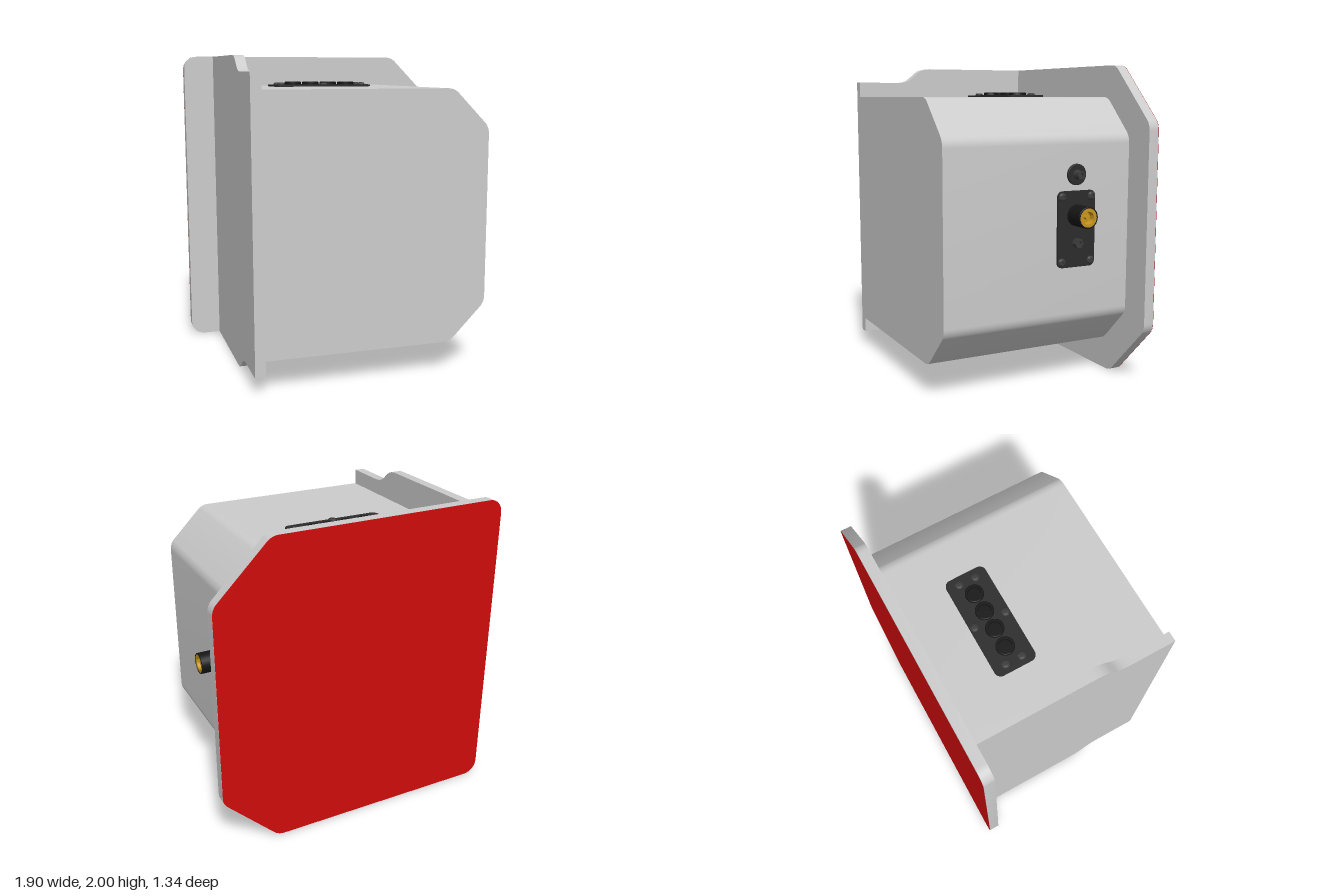
import * as THREE from 'three';
import { toCreasedNormals } from 'three/addons/utils/BufferGeometryUtils.js';

const grey = new THREE.MeshStandardMaterial({ color: 0xcccccc });
const red = new THREE.MeshStandardMaterial({ color: 0xd00c0c, side: THREE.DoubleSide });
const black = new THREE.MeshStandardMaterial({ color: 0x2c2c2c });
const jet = new THREE.MeshStandardMaterial({ color: 0x161616 });
const steel = new THREE.MeshStandardMaterial({ color: 0x3c3c3c });
const gold = new THREE.MeshStandardMaterial({ color: 0xc8961e });

// Polygon with circular fillets; each corner is [x, y, radius]
function filleted(corners) {
  const shape = new THREE.Shape();
  const n = corners.length;
  corners.forEach(([x, y, r], i) => {
    const p = new THREE.Vector2(x, y);
    const a = new THREE.Vector2(...corners[(i + n - 1) % n]).sub(p).normalize();
    const b = new THREE.Vector2(...corners[(i + 1) % n]).sub(p).normalize();
    const turn = Math.PI - Math.acos(a.dot(b));
    const cut = r * Math.tan(turn / 2);
    const h = cut - r * (4 / 3) * Math.tan(turn / 4);
    const at = (dir, d) => p.clone().addScaledVector(dir, d);
    const s = at(a, cut), c1 = at(a, h), c2 = at(b, h), e = at(b, cut);
    if (i === 0) shape.moveTo(s.x, s.y); else shape.lineTo(s.x, s.y);
    if (r > 0) shape.bezierCurveTo(c1.x, c1.y, c2.x, c2.y, e.x, e.y);
  });
  shape.closePath();
  return shape;
}

function extrude(shape, depth) {
  const g = new THREE.ExtrudeGeometry(shape, { depth, bevelEnabled: false, curveSegments: 8 });
  return toCreasedNormals(g, 0.5);
}

function add(parent, name, geometry, material, x = 0, y = 0, z = 0) {
  const mesh = new THREE.Mesh(geometry, material);
  mesh.name = name;
  mesh.position.set(x, y, z);
  parent.add(mesh);
  return mesh;
}

// Turned part standing on y = 0, profile listed from the bottom outside upward
function turned(profile, sides = 32, crease = 0.6) {
  const g = new THREE.LatheGeometry(profile.map(p => new THREE.Vector2(...p)), sides);
  return toCreasedNormals(g, crease);
}

const screwGeometry = turned([[0.026, 0], [0.026, 0.006], [0.021, 0.013], [0.013, 0.016],
  [0.011, 0.016], [0.011, 0.008], [0, 0.008]], 18);

// Cover plate lying in local xz, facing local +y
function coverPanel(name, width, depth, radius, screws) {
  const panel = new THREE.Group();
  panel.name = name;
  const w = width / 2, d = depth / 2;
  const shape = filleted([[-w, -d, radius], [w, -d, radius], [w, d, radius], [-w, d, radius]]);
  add(panel, 'coverPlate', extrude(shape, 0.012).rotateX(-Math.PI / 2), black);
  for (const [x, z] of screws) add(panel, 'screw', screwGeometry, steel, x, 0.01, z);
  return panel;
}

export function createModel() {
  const model = new THREE.Group();
  model.name = 'equipmentBox';

  // Main housing with two chamfered edges
  const housing = filleted([[-0.7, 0.2, 0], [0.51, 0.2, 0.1], [0.75, 0.44, 0.1],
    [0.75, 1.56, 0.1], [0.51, 1.8, 0.1], [-0.7, 1.8, 0]]);
  add(model, 'housing', extrude(housing, 1.268), grey, 0, 0, -0.601);

  // Back flange and its red rear face
  const flange = filleted([[-0.95, 0, 0.09], [0.59, 0, 0.1], [0.95, 0.36, 0.1],
    [0.95, 1.64, 0.1], [0.59, 2, 0.1], [-0.95, 2, 0.09]]);
  add(model, 'backFlange', extrude(flange, 0.068), grey, 0, 0, -0.668);
  add(model, 'redBackFace', new THREE.ShapeGeometry(flange, 8), red, 0, 0, -0.67);

  // Side wall with stepped top and bottom edges, drawn as (z, y)
  const wall = new THREE.Shape();
  wall.moveTo(-0.601, 0);
  wall.lineTo(0.14, 0);
  wall.bezierCurveTo(0.26, 0, 0.25, 0.1, 0.37, 0.1);
  wall.lineTo(0.667, 0.1);
  wall.lineTo(0.667, 1.9);
  wall.lineTo(0.37, 1.9);
  wall.bezierCurveTo(0.25, 1.9, 0.26, 2, 0.14, 2);
  wall.lineTo(-0.601, 2);
  wall.closePath();
  add(model, 'sideWall', extrude(wall, 0.065).rotateY(-Math.PI / 2), grey, -0.685, 0, 0);

  // Matching cover panels on the top and bottom
  const longScrews = [[-0.28, -0.053], [-0.28, 0.053], [0.28, -0.053], [0.28, 0.053], [0, -0.102], [0, 0.102]];
  const top = coverPanel('topPanel', 0.665, 0.262, 0.04, longScrews);
  top.position.set(-0.1, 1.8, -0.168);
  const bottom = coverPanel('bottomPanel', 0.665, 0.262, 0.04, longScrews);
  bottom.position.set(-0.1, 0.2, -0.168);
  bottom.rotation.x = Math.PI;
  model.add(top, bottom);

  // Row of round sockets on the top panel
  const socket = turned([[0.056, 0], [0.056, 0.016], [0.052, 0.02], [0.04, 0.02], [0.038, 0.002], [0, 0.002]]);
  for (let i = 0; i < 4; i++) add(top, 'socket', socket, jet, -0.186 + i * 0.124, 0.011, -0.002);

  // Side panel: local x runs downward, local y outward
  const side = coverPanel('connectorPanel', 0.47, 0.265, 0.035,
    [[-0.2, -0.103], [-0.2, 0.103], [0.2, -0.103], [0.2, 0.103]]);
  side.position.set(0.75, 1.005, -0.213);
  side.rotation.z = -Math.PI / 2;
  model.add(side);

  // Coaxial connector: black sleeve, gold insert and pin
  add(side, 'connectorSleeve', turned([[0.066, 0.01], [0.066, 0.142], [0.063, 0.145], [0.058, 0.145], [0.058, 0.1]]), jet, -0.085);
  add(side, 'connectorInsert', turned([[0.059, 0.1], [0.059, 0.143], [0.038, 0.143], [0.034, 0.105], [0, 0.105]]), gold, -0.085);
  add(side, 'connectorPin', new THREE.CylinderGeometry(0.012, 0.012, 0.03, 16), gold, -0.085, 0.118, 0);

  // Small hexagonal fitting below the connector
  add(side, 'hexFitting', turned([[0.03, 0.01], [0.03, 0.05], [0.016, 0.05], [0.016, 0.03], [0, 0.03]], 6, 0.2), steel, 0.085);

  // Separate round valve above the panel
  const valve = new THREE.Group();
  valve.name = 'valve';
  valve.position.set(0.75, 1.338, -0.213);
  valve.rotation.z = -Math.PI / 2;
  add(valve, 'valveDisc', turned([[0.065, 0], [0.065, 0.011], [0.062, 0.014], [0, 0.014]]), black);
  add(valve, 'valveStem', turned([[0.03, 0.012], [0.025, 0.04], [0.025, 0.061], [0.014, 0.061], [0.014, 0.045], [0, 0.045]], 20), steel);
  model.add(valve);

  return model;
}
